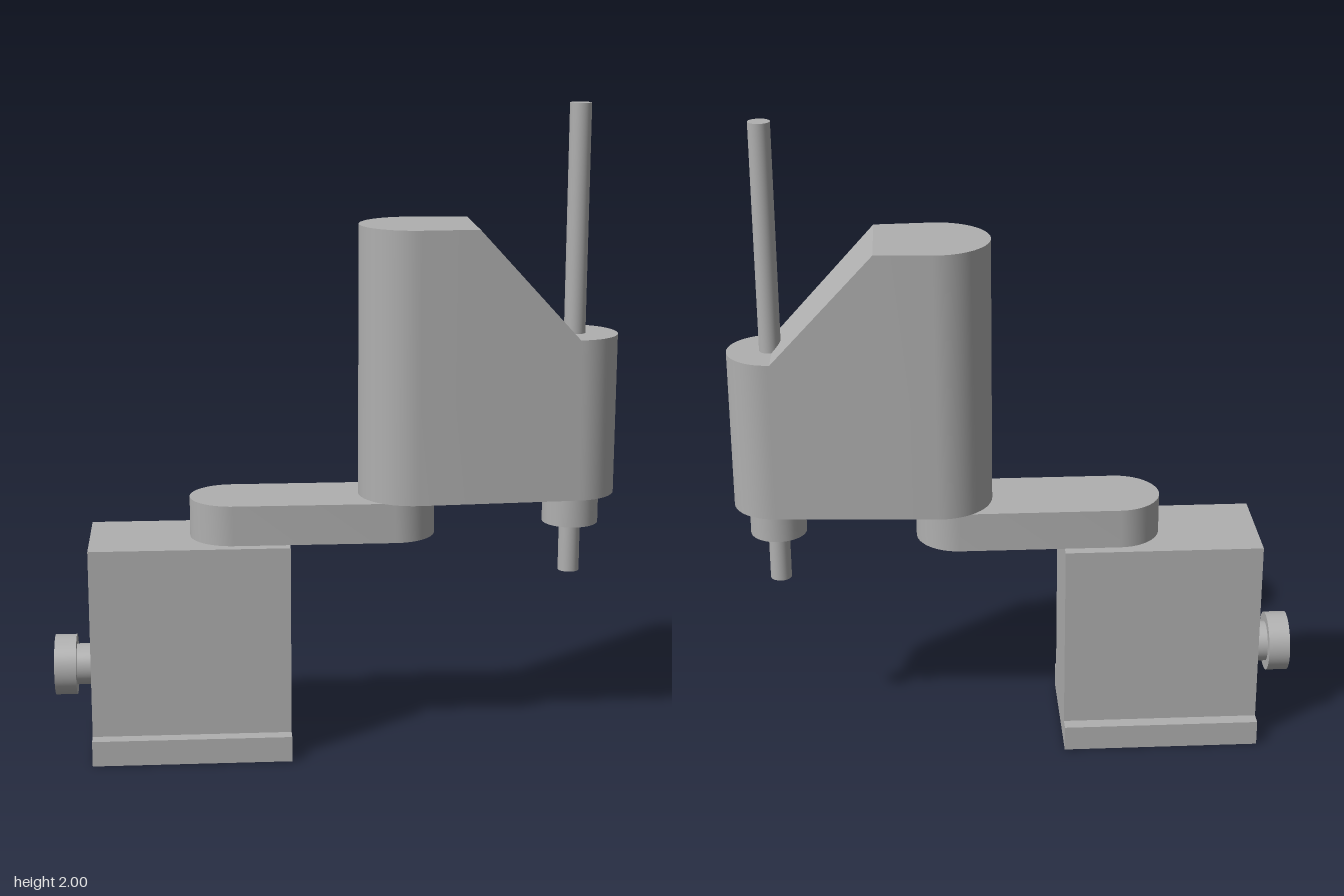
import * as THREE from 'three';
import { toCreasedNormals } from 'three/addons/utils/BufferGeometryUtils.js';

const CREASE = 0.5;

// Outline of two circles joined by tangents, as [x, z] points.
function tangentOutline(x1, r1, x2, r2, breaks = [], steps = 32) {
  const a = Math.acos((r1 - r2) / (x2 - x1));
  const pts = [];
  const arc = (x, r, from, to) => {
    for (let i = 0; i <= steps; i++) {
      const t = from + (to - from) * i / steps;
      pts.push([x + r * Math.cos(t), r * Math.sin(t)]);
    }
  };
  const xa = x1 + r1 * Math.cos(a), xb = x2 + r2 * Math.cos(a);
  const za = r1 * Math.sin(a), zb = r2 * Math.sin(a);
  const sideZ = x => za + (zb - za) * (x - xa) / (xb - xa);
  arc(x1, r1, a, 2 * Math.PI - a);
  breaks.forEach(x => pts.push([x, -sideZ(x)]));
  arc(x2, r2, -a, a);
  [...breaks].reverse().forEach(x => pts.push([x, sideZ(x)]));
  return pts;
}

// Solid standing on the outline; the top follows height(x) and folds at the breaks.
function prism(pts, bottom, height, breaks = []) {
  const pos = [];
  const tri = (...corners) => corners.forEach(c => pos.push(...c));
  const low = ([x, z]) => [x, bottom, z];
  const high = ([x, z]) => [x, height(x), z];
  pts.forEach((p, i) => {
    const q = pts[(i + 1) % pts.length];
    tri(low(p), high(p), high(q));
    tri(low(p), high(q), low(q));
  });
  const fan = (poly, lift, flip) => {
    for (let i = 1; i < poly.length - 1; i++) {
      const [b, c] = flip ? [poly[i], poly[i + 1]] : [poly[i + 1], poly[i]];
      tri(lift(poly[0]), lift(b), lift(c));
    }
  };
  fan(pts, low, true);
  const edges = [-Infinity, ...breaks, Infinity];
  for (let i = 0; i < edges.length - 1; i++) {
    fan(pts.filter(([x]) => x >= edges[i] - 1e-6 && x <= edges[i + 1] + 1e-6), high, false);
  }
  const g = new THREE.BufferGeometry();
  g.setAttribute('position', new THREE.Float32BufferAttribute(pos, 3));
  return toCreasedNormals(g, CREASE);
}

export function createModel() {
  const model = new THREE.Group();
  const grey = new THREE.MeshStandardMaterial({ color: 0xb0b0b0 });
  grey.name = 'grey';

  const add = (name, geometry, x = 0, y = 0, z = 0) => {
    const mesh = new THREE.Mesh(geometry, grey);
    mesh.name = name;
    mesh.position.set(x, y, z);
    model.add(mesh);
    return mesh;
  };
  const box = (name, x0, x1, y0, y1, halfZ) =>
    add(name, new THREE.BoxGeometry(x1 - x0, y1 - y0, halfZ * 2), (x0 + x1) / 2, (y0 + y1) / 2);
  const upright = (name, r, x, y0, y1) =>
    add(name, new THREE.CylinderGeometry(r, r, y1 - y0, 40), x, (y0 + y1) / 2);
  const sideways = (name, r, x0, x1, y) => {
    add(name, new THREE.CylinderGeometry(r, r, x1 - x0, 40), (x0 + x1) / 2, y).rotation.z = Math.PI / 2;
  };

  // Pedestal with its flange
  box('baseFlange', -0.76, -0.145, 0, 0.08, 0.208);
  box('basePedestal', -0.76, -0.145, 0.08, 0.675, 0.166);

  // Cable connector at the rear of the pedestal
  sideways('connectorNeck', 0.064, -0.81, -0.76, 0.26);
  sideways('connectorCap', 0.094, -0.877, -0.81, 0.26);

  // Flat link with round ends
  add('lowerArm', prism(tangentOutline(-0.317, 0.133, 0.178, 0.133), 0.675, () => 0.8));

  // Tapered housing, its top sloping down towards the spindle
  const folds = [0.422, 0.735];
  const top = x => THREE.MathUtils.clamp(1.64 - (x - folds[0]) * 0.34 / (folds[1] - folds[0]), 1.3, 1.64);
  add('upperArmHousing', prism(tangentOutline(0.238, 0.165, 0.737, 0.135, folds), 0.8, top, folds));

  // Spindle
  upright('spindleCollar', 0.087, 0.74, 0.7, 0.8);
  upright('spindleRodLower', 0.033, 0.74, 0.54, 0.7);
  upright('spindleRodUpper', 0.033, 0.74, 1.3, 2);

  return model;
}
